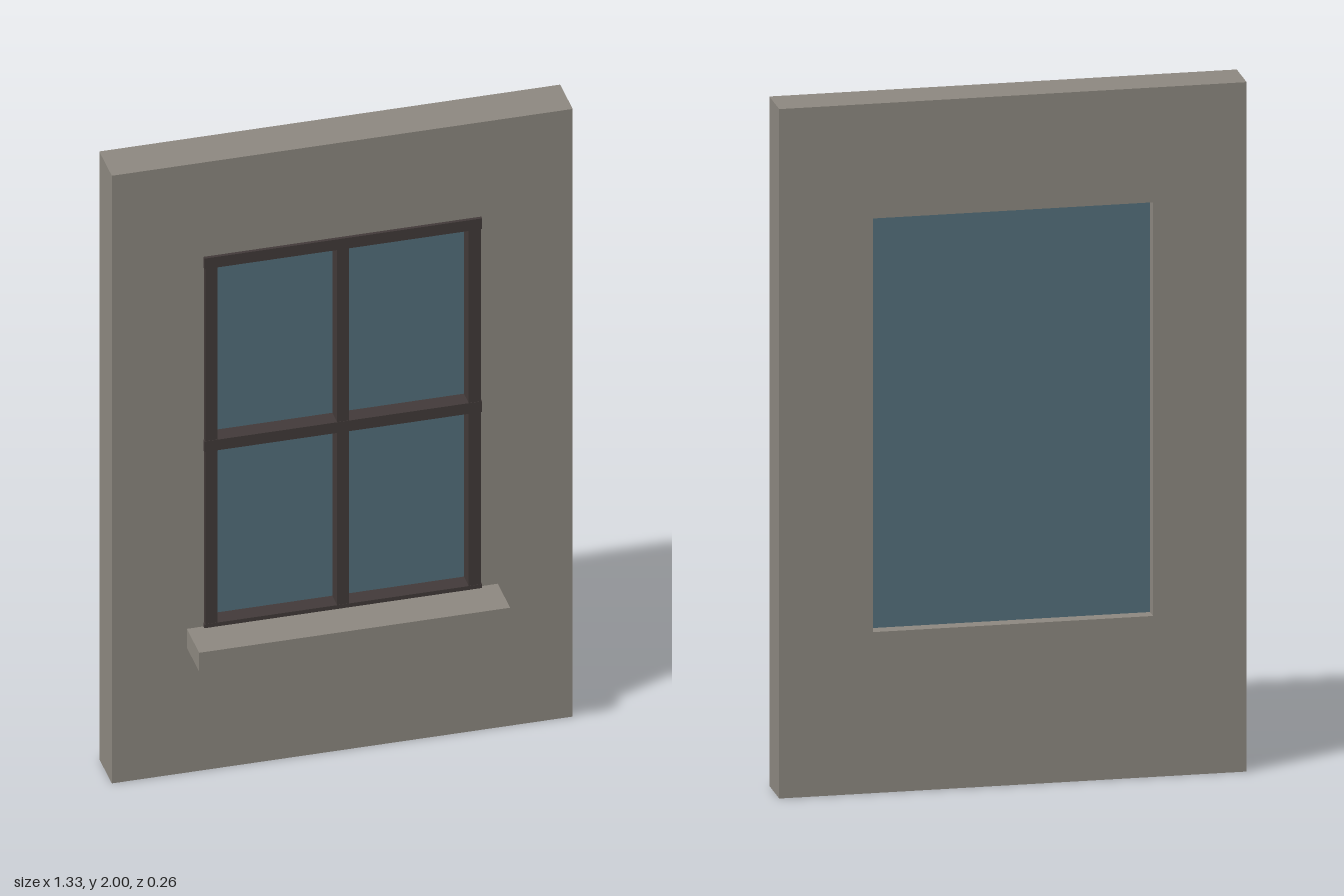
import * as THREE from 'three';

const stone = new THREE.MeshStandardMaterial({ name: 'stone', color: 0x8d8880 });
const darkWood = new THREE.MeshStandardMaterial({ name: 'dark wood', color: 0x423a39 });
const glass = new THREE.MeshStandardMaterial({ name: 'glass', color: 0x54707c });

// Box given by its extents along each axis
function block(name, material, [x0, x1], [y0, y1], [z0, z1]) {
  const mesh = new THREE.Mesh(new THREE.BoxGeometry(x1 - x0, y1 - y0, z1 - z0), material);
  mesh.position.set((x0 + x1) / 2, (y0 + y1) / 2, (z0 + z1) / 2);
  mesh.name = name;
  return mesh;
}

function rectangle(PathType, x, y0, y1) {
  return new PathType([[-x, y0], [x, y0], [x, y1], [-x, y1]].map(([a, b]) => new THREE.Vector2(a, b)));
}

export function createModel() {
  const model = new THREE.Group();
  model.name = 'wallWithWindow';

  // Wall slab with the window opening
  const outline = rectangle(THREE.Shape, 0.667, 0, 2);
  outline.holes.push(rectangle(THREE.Path, 0.4, 0.467, 1.667));
  const wall = new THREE.Mesh(
    new THREE.ExtrudeGeometry(outline, { depth: 0.133, bevelEnabled: false }), stone);
  wall.position.z = -0.133;
  wall.name = 'wall';
  model.add(wall);

  // Projecting sill
  model.add(block('sill', stone, [-0.45, 0.45], [0.411, 0.473], [0, 0.131]));

  // Glass set back in the opening
  model.add(block('glassPane', glass, [-0.399, 0.399], [0.468, 1.666], [-0.095, -0.042]));

  // Frame: three uprights and three crossbars
  const frame = new THREE.Group();
  frame.name = 'windowFrame';
  for (const x of [-0.381, 0, 0.381]) {
    frame.add(block('upright', darkWood, [x - 0.0175, x + 0.0175], [0.468, 1.672], [-0.044, 0.009]));
  }
  for (const y of [0.468, 1.07, 1.672]) {
    frame.add(block('crossbar', darkWood, [-0.402, 0.402], [y - 0.0175, y + 0.0175], [-0.044, 0.01]));
  }
  model.add(frame);

  return model;
}
